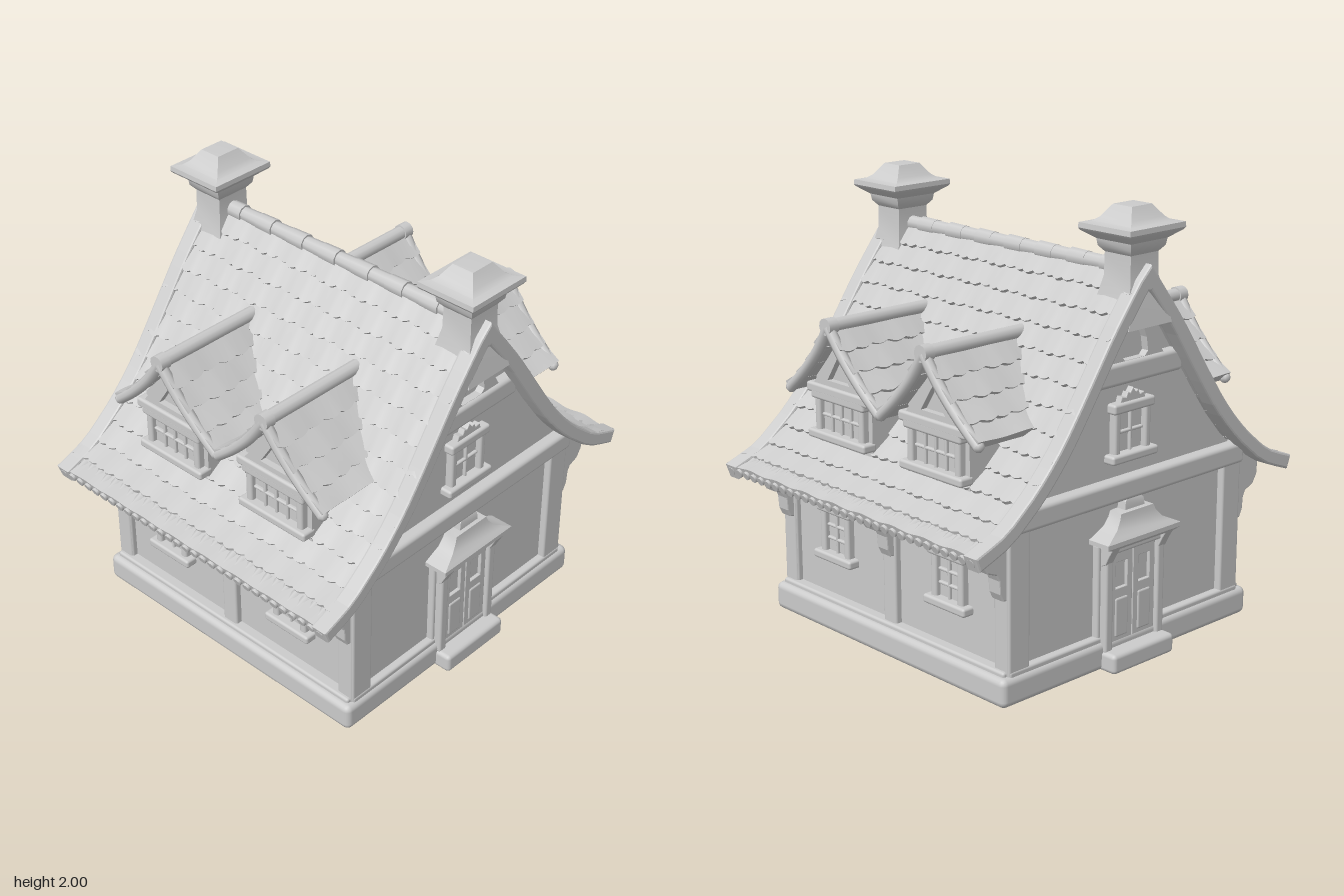
import * as THREE from 'three';
import { toCreasedNormals } from 'three/addons/utils/BufferGeometryUtils.js';
import { RoundedBoxGeometry } from 'three/addons/geometries/RoundedBoxGeometry.js';

const grey = new THREE.MeshStandardMaterial({ color: 0xcccccc });
const vec = (pts) => pts.map(([x, y]) => new THREE.Vector2(x, y));

function add(parent, name, geo, x = 0, y = 0, z = 0) {
  const mesh = new THREE.Mesh(geo, grey);
  mesh.name = name;
  mesh.position.set(x, y, z);
  parent.add(mesh);
  return mesh;
}

function group(parent, name, x = 0, y = 0, z = 0, turn = 0) {
  const g = new THREE.Group();
  g.name = name;
  g.position.set(x, y, z);
  g.rotation.y = turn;
  parent.add(g);
  return g;
}

// Softened timber given by its extents
function beam(parent, name, x0, x1, y0, y1, z0, z1, r = 0.012) {
  const s = [x1 - x0, y1 - y0, z1 - z0];
  return add(parent, name, new RoundedBoxGeometry(...s, 2, Math.min(r, Math.min(...s) * 0.45)),
    (x0 + x1) / 2, (y0 + y1) / 2, (z0 + z1) / 2);
}

function plate(outline, depth, bevel = 0, hole = null) {
  const shape = new THREE.Shape(vec(outline));
  if (hole) shape.holes.push(new THREE.Path(vec(hole)));
  return new THREE.ExtrudeGeometry(shape, { depth, bevelEnabled: bevel > 0, bevelSize: bevel, bevelThickness: bevel, bevelSegments: 2 });
}

// Square turned profile: [half width, height]
function squareLathe(profile, depthScale) {
  const geo = new THREE.LatheGeometry(vec(profile.map(([r, y]) => [r * Math.SQRT2, y])), 4);
  geo.rotateY(Math.PI / 4).scale(1, 1, depthScale);
  return toCreasedNormals(geo, 0.6);
}

// Slope curves: [distance out from ridge, height]
const mainCurve = new THREE.SplineCurve(vec([[0, 1.74], [0.1, 1.615], [0.2, 1.485], [0.3, 1.34], [0.4, 1.195],
  [0.5, 1.06], [0.62, 0.93], [0.72, 0.845], [0.8, 0.785], [0.88, 0.75], [0.96, 0.72]]));
const dormerCurve = new THREE.SplineCurve(vec([[0, 1.43], [0.1, 1.305], [0.2, 1.2], [0.31, 1.105]]));

function offsetPoint(curve, t, h) {
  const p = curve.getPointAt(Math.min(t, 1)), d = curve.getTangentAt(Math.min(t, 1));
  return [Math.max(0, p.x - d.y * h), p.y + d.x * h];
}

// Overlapping courses of scalloped tiles sweeping along x, sloping down to +z
function tiledSlope(curve, courses, half, tiles, lean = 0) {
  const pos = [], steps = tiles * 4, len = curve.getLength();
  const section = (i, j) => {
    const phase = j / 4 + (i % 2) / 2;
    const wobble = 0.005 * Math.sin(phase * 1.9 + i * 2.3);
    const lip = (0.012 + 0.012 * Math.abs(Math.sin(phase * Math.PI)) + wobble) / len;
    const t0 = i / courses, t1 = (i + 1) / courses + (i < courses - 1 ? lip : 0);
    return [[t0, 0], [t1, 0.016 + wobble], [t1, -0.03], [t0, -0.03]].map(([t, h]) => {
      const [u, y] = offsetPoint(curve, t, h);
      return [(j / steps * 2 - 1) * half * (1 + lean * (y - 1.1)), y, u];
    });
  };
  const quad = (a, b, c, d) => pos.push(...a, ...b, ...c, ...a, ...c, ...d);
  for (let i = 0; i < courses; i++) {
    for (let j = 0; j < steps; j++) {
      const a = section(i, j), b = section(i, j + 1);
      for (let k = 0; k < 4; k++) quad(a[k], a[(k + 1) % 4], b[(k + 1) % 4], b[k]);
    }
    quad(...section(i, steps));
    quad(...section(i, 0).reverse());
  }
  const geo = new THREE.BufferGeometry();
  geo.setAttribute('position', new THREE.Float32BufferAttribute(pos, 3));
  geo.computeVertexNormals();
  return toCreasedNormals(geo, 0.7);
}

// Window facing +z with its sill at y = 0
function makeWindow(parent, x, y, z, w, h, cols, rows, crest) {
  const g = group(parent, 'window', x, y, z), f = 0.035, a = w / 2;
  beam(g, 'windowGlass', -a + 0.01, a - 0.01, 0.01, h - 0.01, -0.02, 0.008);
  for (const s of [-1, 1]) beam(g, 'windowJamb', s * (a - f / 2) - f / 2, s * (a - f / 2) + f / 2, 0, h, -0.02, 0.035);
  beam(g, 'windowHead', -a - 0.015, a + 0.015, h - f, h + 0.01, -0.02, 0.045);
  beam(g, 'windowSill', -a - 0.03, a + 0.03, -0.015, 0.025, -0.02, 0.055);
  for (let i = 1; i < cols; i++) {
    const mx = -a + f + (w - 2 * f) * i / cols;
    beam(g, 'windowMullion', mx - 0.007, mx + 0.007, 0.02, h - f, -0.01, 0.022);
  }
  for (let i = 1; i < rows; i++) {
    const my = 0.025 + (h - f - 0.025) * i / rows;
    beam(g, 'windowBar', -a + f, a - f, my - 0.007, my + 0.007, -0.01, 0.022);
  }
  if (crest) add(g, 'windowCrest', plate([[-0.075, 0], [0.075, 0], [0.065, 0.025], [0.04, 0.02], [0.03, 0.04],
    [0.015, 0.035], [0, 0.055], [-0.015, 0.035], [-0.03, 0.04], [-0.04, 0.02], [-0.065, 0.025]], 0.03, 0.004), 0, h + 0.005, -0.005);
}

function makeDormer(parent, x) {
  const g = group(parent, 'dormer', x);
  add(g, 'dormerWall', plate([[-0.19, 0.8], [0.19, 0.8], [0.19, 1.16], [0, 1.37], [-0.19, 1.16]], 0.5), 0, 0, 0.2);
  makeWindow(g, 0, 0.905, 0.7, 0.33, 0.2, 4, 2, false);
  beam(g, 'dormerBeam', -0.21, 0.21, 1.095, 1.14, 0.68, 0.745);
  add(g, 'dormerGableFrame', plate([[-0.17, 1.14], [0.17, 1.14], [0, 1.35]], 0.035, 0, [[-0.075, 1.165], [0, 1.28], [0.075, 1.165]]), 0, 0, 0.695);
  for (const s of [-1, 1]) {
    add(g, 'dormerRoof', tiledSlope(dormerCurve, 4, 0.3, 7, 0.2), 0, 0, 0.47).rotation.y = s * Math.PI / 2;
    const path = [0, 0.35, 0.7, 1].map((t) => {
      const [u, y] = offsetPoint(dormerCurve, t, -0.012);
      return new THREE.Vector3(s * u, y, 0.755 + 0.06 * (y - 1.1));
    });
    add(g, 'dormerBargeboard', new THREE.TubeGeometry(new THREE.CatmullRomCurve3(path), 10, 0.026, 8));
    add(g, 'dormerEaveEnd', new THREE.SphereGeometry(0.026, 8, 6), path[3].x, path[3].y, path[3].z);
  }
  add(g, 'dormerRidge', new THREE.CylinderGeometry(0.032, 0.032, 0.58, 10), 0, 1.427, 0.49).rotation.x = Math.PI / 2;
  add(g, 'dormerRidgeEnd', new THREE.CylinderGeometry(0.038, 0.038, 0.05, 12), 0, 1.427, 0.77).rotation.x = Math.PI / 2;
}

// Long side: roof slope, dormers, timbers, windows and eave brackets
function makeSide(parent, turn) {
  const g = group(parent, 'side', 0, 0, 0, turn);
  add(g, 'roofSlope', tiledSlope(mainCurve, 13, 0.825, 28));
  for (let i = 0; i < 31; i++) {
    const roll = add(g, 'eaveTile', new THREE.CylinderGeometry(0.02, 0.024, 0.1, 8), -0.795 + i * 0.053, 0.722, 0.92);
    roll.rotation.x = Math.PI / 2 + 0.37;
  }
  for (const s of [-1, 1]) {
    makeDormer(g, s * 0.31);
    makeWindow(g, s * 0.375, 0.335, 0.69, 0.2, 0.245, 2, 3, true);
  }
  for (const x of [-0.705, 0, 0.705]) {
    beam(g, 'sidePost', x - 0.042, x + 0.042, 0.1, 0.8, 0.66, 0.722);
    const outline = [[0.69, 0.46], [0.735, 0.47], [0.75, 0.5], [0.755, 0.56], [0.77, 0.59], [0.82, 0.61], [0.845, 0.65], [0.85, 0.73], [0.69, 0.8]];
    add(g, 'eaveBracket', plate(outline, 0.056, 0.006), x + 0.028).rotation.y = -Math.PI / 2;
  }
  beam(g, 'sideSill', -0.74, 0.74, 0.09, 0.15, 0.66, 0.74);
  beam(g, 'sideTopBeam', -0.74, 0.74, 0.68, 0.8, 0.66, 0.715);
}

function makeDoor(parent) {
  const g = group(parent, 'doorway');
  beam(g, 'doorStep', -0.19, 0.19, 0, 0.09, 0.7, 0.845, 0.02);
  beam(g, 'doorSurround', -0.2, 0.2, 0.08, 0.57, 0.7, 0.75);
  beam(g, 'doorLintel', -0.18, 0.18, 0.525, 0.58, 0.72, 0.795);
  for (const s of [-1, 1]) {
    beam(g, 'doorPost', s * 0.16 - 0.023, s * 0.16 + 0.023, 0.08, 0.56, 0.72, 0.785);
    add(g, 'doorCorbel', plate([[0, 0.48], [0.02, 0.49], [0.04, 0.53], [0.065, 0.57], [0, 0.57]], 0.04, 0.004), s * 0.165 + 0.02, 0, 0.76).rotation.y = -Math.PI / 2;
    const x = s * 0.07;
    add(g, 'doorLeaf', plate([[x - 0.065, 0.09], [x + 0.065, 0.09], [x + 0.065, 0.53], [x - 0.065, 0.53]], 0.018, 0.003,
      [[x - 0.038, 0.35], [x - 0.038, 0.475], [x + 0.038, 0.475], [x + 0.038, 0.35]]), 0, 0, 0.745);
    beam(g, 'doorPanel', x - 0.04, x + 0.04, 0.13, 0.31, 0.75, 0.772);
  }
  add(g, 'doorCanopy', squareLathe([[0, 0.56], [0.19, 0.56], [0.225, 0.575], [0.225, 0.595], [0.19, 0.612], [0.14, 0.635],
    [0.11, 0.67], [0.1, 0.695], [0.06, 0.7], [0.055, 0.735], [0.035, 0.75], [0, 0.75]], 0.38), 0, 0, 0.748);
}

// Gable end: timbers, bargeboards, window, door and chimney
function makeEnd(parent, turn) {
  const g = group(parent, 'gableEnd', 0, 0, 0, turn);
  beam(g, 'floorBeam', -0.715, 0.715, 0.74, 0.84, 0.69, 0.775, 0.02);
  beam(g, 'collarBeam', -0.29, 0.29, 1.25, 1.35, 0.69, 0.77, 0.02);
  beam(g, 'endSill', -0.715, 0.715, 0.09, 0.15, 0.69, 0.755);
  for (const s of [-1, 1]) beam(g, 'cornerPost', s * 0.658 - 0.06, s * 0.658 + 0.06, 0.1, 0.8, 0.66, 0.752);
  add(g, 'gableFrame', plate([[-0.18, 1.34], [0.18, 1.34], [0, 1.64]], 0.04, 0,
    [[-0.08, 1.37], [-0.07, 1.43], [0, 1.59], [0.07, 1.43], [0.08, 1.37], [0.06, 1.35], [-0.06, 1.35]]), 0, 0, 0.715);
  const ts = Array.from({ length: 21 }, (_, i) => i / 20);
  const outer = ts.map((t) => offsetPoint(mainCurve, t, 0.008)), inner = ts.map((t) => offsetPoint(mainCurve, t, -0.04));
  const flip = (pts) => pts.map(([x, y]) => [-x, y]);
  const keep = inner.filter(([x]) => x > 0.001);
  const apex = [0, keep[0][1] + keep[0][0] * -1 + 0.01];
  const right = [...[...outer].reverse(), ...flip(outer).slice(1), ...flip(keep).reverse(), apex, ...keep];
  add(g, 'bargeboard', plate(right, 0.06, 0.01), 0, 0, 0.765);
  makeWindow(g, 0, 0.925, 0.72, 0.22, 0.235, 2, 2, true);
  makeDoor(g);
  add(g, 'chimney', squareLathe([[0.13, 1.5], [0.105, 1.62], [0.085, 1.7], [0.083, 1.8], [0.105, 1.825], [0.11, 1.855],
    [0.16, 1.89], [0.167, 1.9], [0.165, 1.922], [0.125, 1.928], [0.1, 1.945], [0.06, 1.997], [0, 2]], 0.88), 0, 0, 0.725);
}

export function createModel() {
  const house = new THREE.Group();
  house.name = 'house';
  // Solid body up to the underside of the roof
  const slope = [0.69, 0.6, 0.5, 0.4, 0.3, 0.2, 0.1, 0].map((x) => {
    let t = 0;
    while (mainCurve.getPoint(t).x < x) t += 0.005;
    return [x, mainCurve.getPoint(t).y - 0.055];
  });
  const outline = [[-0.69, 0.05], [0.69, 0.05], ...slope, ...slope.slice(0, -1).reverse().map(([x, y]) => [-x, y])];
  add(house, 'walls', plate(outline, 1.44), 0, 0, -0.72);
  beam(house, 'plinth', -0.768, 0.768, 0, 0.13, -0.77, 0.77, 0.03);
  for (const turn of [0, Math.PI]) {
    makeEnd(house, turn);
    makeSide(house, turn + Math.PI / 2);
  }
  // Ridge tiles between the chimneys
  for (let i = 0; i < 14; i++) {
    const r = i % 2 ? 0.036 : 0.041;
    add(house, 'ridgeTile', new THREE.CylinderGeometry(r, r - 0.003, 0.098, 10), 0, 1.727, -0.624 + i * 0.096).rotation.x = Math.PI / 2;
  }
  return house;
}
